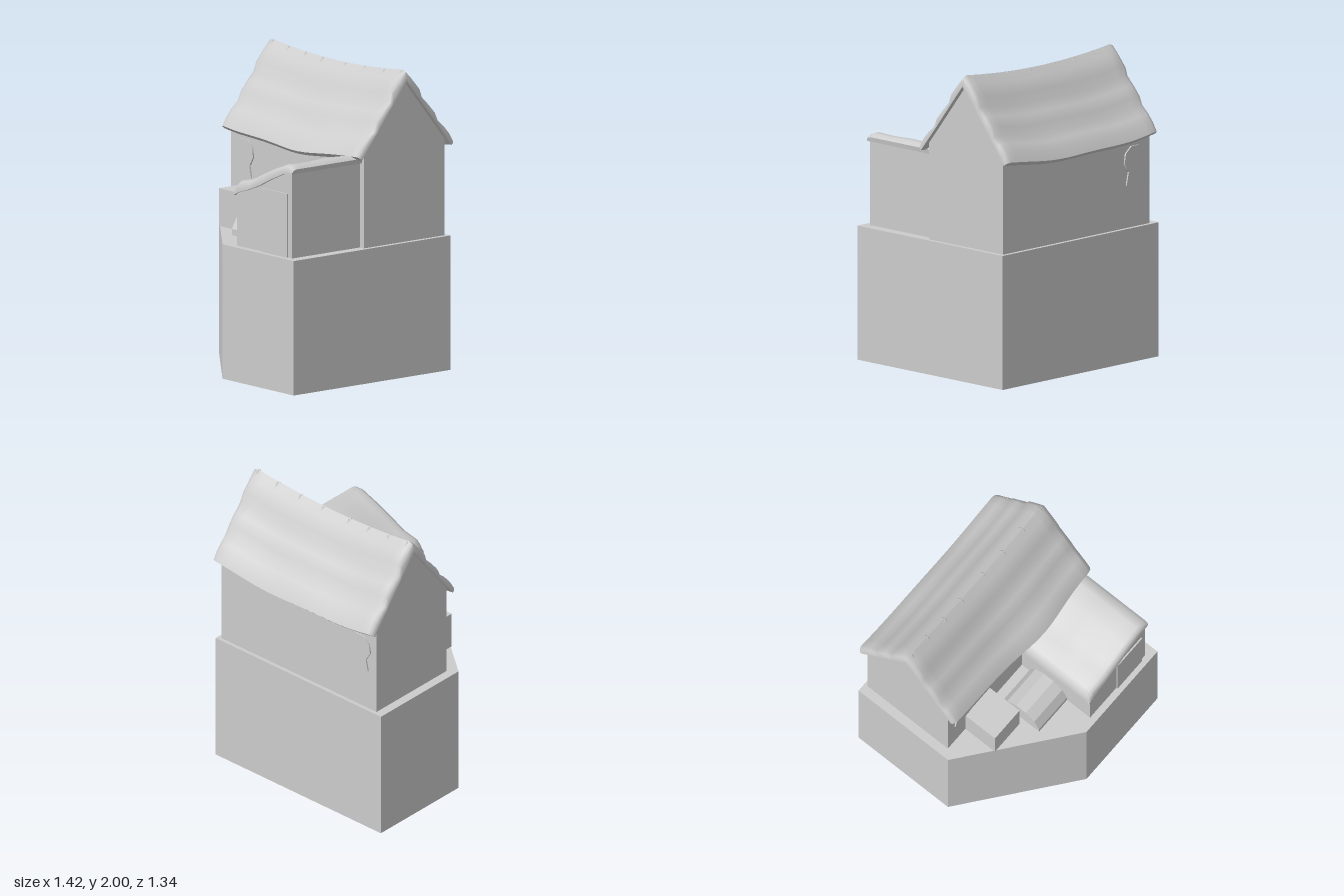
import * as THREE from 'three';
import { toCreasedNormals } from 'three/addons/utils/BufferGeometryUtils.js';

const material = new THREE.MeshStandardMaterial({ color: 0xcccccc });
const openMaterial = new THREE.MeshStandardMaterial({ color: 0xcccccc, side: THREE.DoubleSide });
const GROUND = 0.875;
const RIDGE_Z = -0.27;

function add(parent, name, geometry, x = 0, y = 0, z = 0, mat = material) {
  const mesh = new THREE.Mesh(geometry, mat);
  mesh.name = name;
  mesh.position.set(x, y, z);
  parent.add(mesh);
  return mesh;
}

function polygon(points) {
  return new THREE.Shape(points.map(([x, y]) => new THREE.Vector2(x, y)));
}

function extrude(points, depth) {
  return new THREE.ExtrudeGeometry(polygon(points), { depth, bevelEnabled: false });
}

// Thick sheet swept from `start` to `end`, thinned at both ends for a rounded edge.
// outer and inner are paired profile points; place() turns (a, y, sweep) into a position.
function thatch(outer, inner, start, end, steps, place) {
  const n = outer.length;
  const ring = 2 * n;
  const stations = [[start, 0.35], [start + 0.012, 0.8], [start + 0.035, 1]];
  for (let i = 1; i < steps; i++) {
    stations.push([THREE.MathUtils.lerp(start + 0.035, end - 0.035, i / steps), 1]);
  }
  stations.push([end - 0.035, 1], [end - 0.012, 0.8], [end, 0.35]);

  const positions = [];
  const index = [];
  for (const [u, full] of stations) {
    const top = outer.map((p, i) => p.map((v, k) => THREE.MathUtils.lerp(inner[i][k], v, full)));
    for (const [a, y] of [...top, ...inner.slice().reverse()]) positions.push(...place(a, y, u));
  }
  for (let s = 0; s < stations.length - 1; s++) {
    for (let i = 0; i < ring; i++) {
      const j = (i + 1) % ring;
      const a = s * ring, b = a + ring;
      index.push(a + i, b + i, b + j, a + i, b + j, a + j);
    }
  }
  const last = (stations.length - 1) * ring;
  for (let i = 0; i < n - 1; i++) {
    const o = i, p = i + 1, q = ring - 2 - i, r = ring - 1 - i;
    index.push(last + o, last + r, last + q, last + o, last + q, last + p);
    index.push(o, q, r, o, p, q);
  }
  const geometry = new THREE.BufferGeometry();
  geometry.setAttribute('position', new THREE.Float32BufferAttribute(positions, 3));
  geometry.setIndex(index);
  return toCreasedNormals(geometry, 0.85);
}

// Sag of the main roof along its length
const sag = (x) => 0.045 * (1 - ((x - 0.02) / 0.69) ** 2);

function createBase() {
  const base = new THREE.Group();
  base.name = 'base';
  const plan = [[-0.71, 0.11], [0, 0.67], [0.71, 0.67], [0.71, -0.63], [-0.71, -0.63]];
  const top = new THREE.ShapeGeometry(polygon(plan.map(([x, z]) => [x, -z])));
  add(base, 'baseTop', top.rotateX(-Math.PI / 2), 0, GROUND, 0, openMaterial);
  // Side walls, open underneath
  plan.forEach(([x, z], i) => {
    const [x2, z2] = plan[(i + 1) % plan.length];
    const wall = new THREE.PlaneGeometry(Math.hypot(x2 - x, z2 - z), GROUND);
    wall.rotateY(Math.atan2(z - z2, x2 - x));
    add(base, 'baseWall', wall, (x + x2) / 2, GROUND / 2, (z + z2) / 2, openMaterial);
  });
  return base;
}

function createHouse() {
  const house = new THREE.Group();
  house.name = 'house';

  // Gabled walls
  const gable = [[-0.06, GROUND], [0.605, GROUND], [0.605, 1.51], [0.27, 1.93], [-0.06, 1.51]];
  add(house, 'houseWalls', extrude(gable, 1.33).rotateY(Math.PI / 2), -0.65);

  // Layered roof: half profile mirrored about the ridge
  const half = [[0.05, 1.95], [0.115, 1.875], [0.135, 1.81], [0.19, 1.757],
    [0.245, 1.695], [0.268, 1.635], [0.32, 1.595], [0.365, 1.545], [0.40, 1.485]];
  const outer = [...half.map(([d, y]) => [-d, y]).reverse(), [0, 2], ...half];
  const inner = outer.map(([d]) => [d * 0.925, 1.925 - 1.257 * Math.abs(d) * 0.925]);
  const roof = thatch(outer, inner, -0.67, 0.71, 22, (d, y, x) => {
    const low = Math.max(0, -d) / 0.4;
    const bulge = 0.035 * low * low * Math.exp(-(((x - 0.2) / 0.25) ** 2));
    const ripple = 0.005 * Math.sin(x * 9 + d * 6) * Math.min(1, Math.abs(d) * 4);
    return [x, y - sag(x) + ripple, RIDGE_Z - d + bulge];
  });
  add(house, 'houseRoof', roof);

  // Thin pins straddling the ridge
  for (const x of [-0.62, -0.46, -0.29, -0.12, 0.105, 0.3, 0.495, 0.665]) {
    for (const side of [-1, 1]) {
      const pin = add(house, 'ridgePin', new THREE.ConeGeometry(0.009, 0.135, 6),
        x, 1.943 - sag(x), RIDGE_Z + side * 0.046);
      pin.rotation.x = side * (Math.PI - 0.72);
    }
  }

  // Round window with a flared sill on the front and back walls
  for (const z of [0.06, -0.605]) {
    const window = new THREE.Group();
    window.name = 'roundWindow';
    window.position.set(-0.51, 1.315, z);
    const pane = new THREE.CylinderGeometry(0.095, 0.095, 0.02, 9);
    add(window, 'windowPane', pane.rotateX(Math.PI / 2));
    const sill = extrude([[-0.075, -0.16], [0, -0.17], [0.075, -0.16], [0.055, -0.07], [-0.055, -0.07]], 0.02);
    add(window, 'windowSill', sill, 0, 0, -0.01);
    house.add(window);
  }
  return house;
}

function createLeanTo() {
  const leanTo = new THREE.Group();
  leanTo.name = 'leanTo';

  const walls = [[0.09, GROUND], [0.64, GROUND], [0.64, 1.44], [0.57, 1.43], [0.33, 1.325], [0.09, 1.235]];
  add(leanTo, 'leanToWalls', extrude(walls, 0.575), 0, 0, 0.05);

  // Uneven sloping roof
  const outer = [[0.062, 1.215], [0.08, 1.265], [0.11, 1.3], [0.225, 1.325], [0.31, 1.37],
    [0.45, 1.428], [0.58, 1.475], [0.635, 1.475], [0.66, 1.455]];
  const inner = [[0.066, 1.2], [0.085, 1.21], [0.115, 1.228], [0.225, 1.265], [0.33, 1.305],
    [0.45, 1.36], [0.57, 1.412], [0.62, 1.42], [0.655, 1.425]];
  const roof = thatch(outer, inner, 0.03, 0.638, 14, (x, y, z) => {
    const wave = 0.008 * Math.sin(z * 17 + x * 5) * Math.sin(Math.PI * (x - 0.06) / 0.6);
    return [x, y + wave, z];
  });
  add(leanTo, 'leanToRoof', roof);

  add(leanTo, 'door', new THREE.BoxGeometry(0.245, 0.415, 0.02), 0.4775, GROUND + 0.2075, 0.625);
  return leanTo;
}

export function createModel() {
  const model = new THREE.Group();
  model.name = 'cottage';
  model.add(createBase(), createHouse(), createLeanTo());

  // Crate against the front wall
  add(model, 'crate', new THREE.BoxGeometry(0.245, 0.245, 0.245), -0.3525, GROUND + 0.1225, 0.1825);

  // Half-sunk barrel lying beside the lean-to
  const barrel = new THREE.CylinderGeometry(0.157, 0.157, 0.28, 12).toNonIndexed();
  barrel.rotateY(Math.PI / 12).rotateZ(Math.PI / 2);
  barrel.computeVertexNormals();
  add(model, 'barrel', barrel, -0.05, GROUND, 0.283);
  return model;
}
